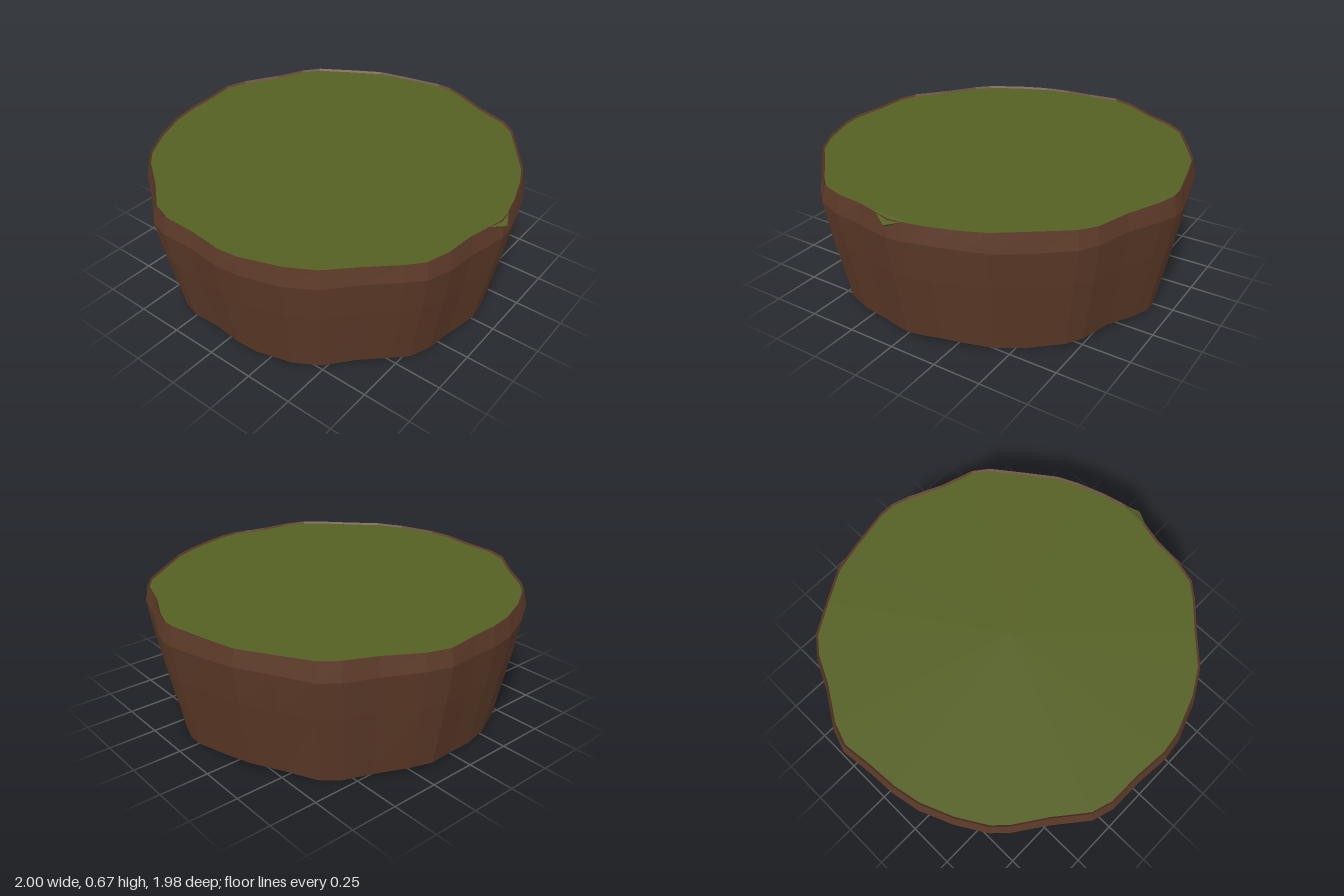
import * as THREE from 'three';

// Uneven outline at the widest height, as x, z pairs from +x towards +z
const OUTLINE = [
  0.983, 0, 0.96, 0.1, 0.935, 0.2, 0.92, 0.35, 0.88, 0.48, 0.81, 0.56, 0.67, 0.69, 0.54, 0.82,
  0.4, 0.9, 0.2, 0.97, 0.08, 0.985, -0.1, 0.968, -0.28, 0.965, -0.39, 0.93, -0.55, 0.8, -0.71, 0.69,
  -0.78, 0.62, -0.87, 0.47, -0.94, 0.3, -0.97, 0.15, -0.98, 0, -1, -0.17, -0.96, -0.29, -0.85, -0.47,
  -0.78, -0.62, -0.71, -0.71, -0.55, -0.81, -0.38, -0.91, -0.22, -0.95, 0, -0.995, 0.08, -0.995, 0.18, -0.965,
  0.36, -0.885, 0.54, -0.83, 0.62, -0.77, 0.74, -0.61, 0.85, -0.46, 0.9, -0.35, 0.95, -0.2, 0.978, -0.08,
];
const COUNT = OUTLINE.length / 2;

// One ring of the outline: scaled, at a height, with an optional wave
function ring(scale, y, wave = 0) {
  return Array.from({ length: COUNT }, (_, i) => {
    const x = OUTLINE[2 * i], z = OUTLINE[2 * i + 1];
    const dy = -wave * Math.cos(7 * (Math.atan2(z, x) - 0.23));
    return [x * scale, y + dy, z * scale];
  });
}

// Skin neighbouring rings from bottom to top
function loft(rings) {
  const index = [];
  for (let r = 0; r < rings.length - 1; r++) {
    for (let i = 0; i < COUNT; i++) {
      const j = (i + 1) % COUNT;
      const a = r * COUNT + i, b = r * COUNT + j;
      index.push(a, a + COUNT, b, b, a + COUNT, b + COUNT);
    }
  }
  return build(rings.flat(), index);
}

function build(points, index) {
  const g = new THREE.BufferGeometry();
  g.setAttribute('position', new THREE.Float32BufferAttribute(points.flat(), 3));
  g.setIndex(index);
  const flat = g.toNonIndexed();
  flat.computeVertexNormals();
  return flat;
}

export function createModel() {
  const group = new THREE.Group();
  const earth = new THREE.MeshStandardMaterial({ name: 'earth brown', color: 0x5c3a28, side: THREE.DoubleSide, flatShading: true });
  const grass = new THREE.MeshStandardMaterial({ name: 'grass green', color: 0x556024, side: THREE.DoubleSide, flatShading: true });
  const add = (name, geometry, material) => {
    const mesh = new THREE.Mesh(geometry, material);
    mesh.name = name;
    group.add(mesh);
  };

  // Tapered wall, open underneath, with a thin lip turned in at the top
  add('earthWall', loft([
    ring(0.895, 0.015, 0.013),
    ring(0.967, 0.38, 0.006),
    ring(1, 0.58, 0.008),
    ring(0.982, 0.672),
    ring(0.972, 0.66),
  ]), earth);

  // Flat grass surface just below the lip
  const cover = [...ring(0.973, 0.662), [0, 0.662, 0]];
  const fan = [];
  for (let i = 0; i < COUNT; i++) fan.push(COUNT, (i + 1) % COUNT, i);
  add('grassTop', build(cover, fan), grass);

  // Small pointed fold of grass hanging over the +x edge
  add('grassFold', build([
    [0.935, 0.674, 0.1], [0.95, 0.674, -0.09], [0.995, 0.65, 0], [0.973, 0.632, 0],
  ], [0, 2, 1, 0, 3, 2, 1, 2, 3]), grass);

  return group;
}
